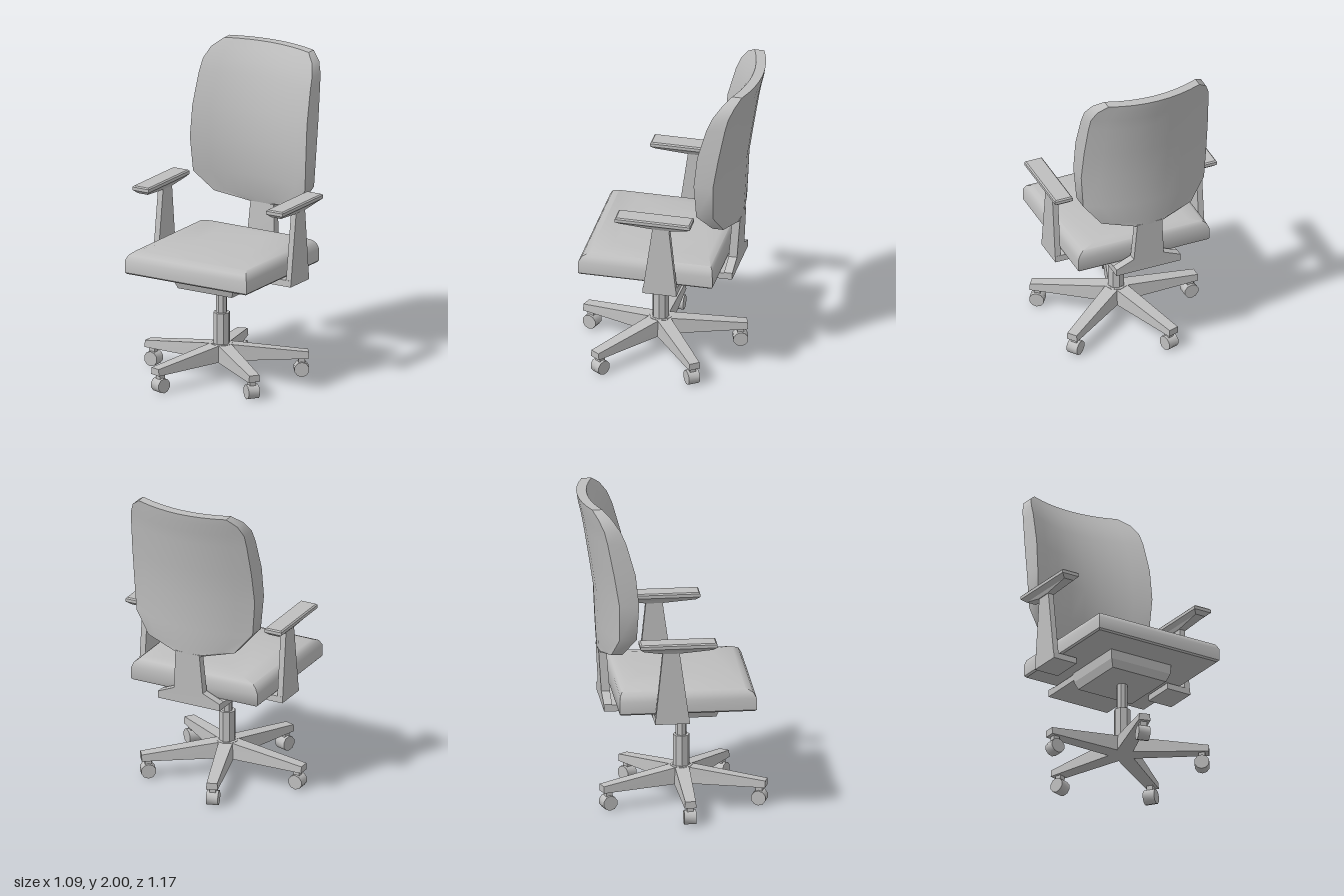
import * as THREE from 'three';
import { toCreasedNormals } from 'three/addons/utils/BufferGeometryUtils.js';

const grey = new THREE.MeshStandardMaterial({ color: 0xbfbfbf });
grey.name = 'grey';

// Rectangle ring, counter-clockwise seen from above
const rect = (y, x0, x1, zf, zb) => [[x0, y, zf], [x1, y, zf], [x1, y, zb], [x0, y, zb]];

// Closed solid through a stack of rings, bottom to top
function loft(rings, crease = 0.5) {
  const n = rings[0].length;
  const index = [];
  const quad = (a, b, c, d) => index.push(a, b, c, a, c, d);
  for (let i = 0; i < rings.length - 1; i++) {
    for (let j = 0; j < n; j++) {
      const k = (j + 1) % n;
      quad(i * n + j, i * n + k, (i + 1) * n + k, (i + 1) * n + j);
    }
  }
  const top = (rings.length - 1) * n;
  for (let j = 0; j < n / 2 - 1; j++) {
    quad(j, n - 1 - j, n - 2 - j, j + 1);
    quad(top + j, top + j + 1, top + n - 2 - j, top + n - 1 - j);
  }
  const geo = new THREE.BufferGeometry();
  geo.setAttribute('position', new THREE.Float32BufferAttribute(rings.flat(2), 3));
  geo.setIndex(index);
  return toCreasedNormals(geo, crease);
}

function add(parent, name, geo) {
  const mesh = new THREE.Mesh(geo, grey);
  mesh.name = name;
  parent.add(mesh);
  return mesh;
}

function cylinder(parent, name, r, y0, y1, z) {
  const geo = toCreasedNormals(new THREE.CylinderGeometry(r, r, y1 - y0, 8), 0.5);
  add(parent, name, geo).position.set(0, (y0 + y1) / 2, z);
}

export function createModel() {
  const chair = new THREE.Group();
  chair.name = 'officeChair';
  const baseZ = 0.065;

  // Backrest: rows of height, half width, front and back depth at the middle
  const rows = [
    [1.0, 0.085, -0.405, -0.455], [1.05, 0.3, -0.39, -0.46],
    [1.18, 0.405, -0.362, -0.468], [1.4, 0.42, -0.357, -0.478],
    [1.6, 0.415, -0.375, -0.508], [1.8, 0.403, -0.425, -0.54],
    [1.88, 0.395, -0.455, -0.555], [1.95, 0.365, -0.49, -0.572],
    [2.0, 0.305, -0.518, -0.58],
  ];
  const steps = [-1, -0.75, -0.5, -0.25, 0, 0.25, 0.5, 0.75, 1];
  const bow = (x, y, z) => [x, y, z + 0.66 * x * x];
  add(chair, 'backrest', loft(rows.map(([y, w, zf, zb]) => [
    ...steps.map((u) => bow(u * w, y, zf)),
    ...steps.map((u) => bow(-u * w, y, zb)),
  ]), 0.65));

  // Back support: flared upright and the plate running under the seat
  add(chair, 'backSupport', loft([
    [0.655, 0.215, -0.385, -0.435], [0.7, 0.215, -0.385, -0.437],
    [0.75, 0.1, -0.387, -0.44], [1.01, 0.083, -0.406, -0.455],
  ].map(([y, w, zf, zb]) => rect(y, -w, w, zf, zb)), 0.2));
  add(chair, 'supportPlate', loft([
    rect(0.655, -0.215, 0.215, -0.1, -0.43), rect(0.695, -0.215, 0.215, -0.1, -0.43),
  ]));

  // Seat cushion: rectangles shrinking towards a soft crown
  add(chair, 'seat', loft([
    [0.7, 0.43, 0.475, -0.355], [0.71, 0.44, 0.485, -0.363],
    [0.785, 0.44, 0.485, -0.363], [0.82, 0.425, 0.465, -0.358],
    [0.84, 0.4, 0.42, -0.345], [0.86, 0.31, 0.28, -0.31],
    [0.868, 0.16, 0.14, -0.22],
  ].map(([y, w, zf, zb]) => rect(y, -w, w, zf, zb)), 0.75));

  // Tilt mechanism under the seat
  add(chair, 'mechanism', loft([
    rect(0.59, -0.195, 0.195, 0.26, -0.13),
    rect(0.64, -0.215, 0.215, 0.278, -0.148),
    rect(0.702, -0.22, 0.22, 0.28, -0.15),
  ], 0.2));

  // Armrests, mirrored
  for (const s of [-1, 1]) {
    const arm = new THREE.Group();
    arm.name = s > 0 ? 'leftArmrest' : 'rightArmrest';
    const box = (y, a, b, zf, zb) => rect(y, Math.min(s * a, s * b), Math.max(s * a, s * b), zf, zb);
    add(arm, 'armFoot', loft([box(0.655, 0.333, 0.5, 0.065, -0.15), box(0.695, 0.333, 0.5, 0.062, -0.147)]));
    add(arm, 'armPost', loft([box(0.655, 0.463, 0.5, 0.065, -0.15), box(1.14, 0.463, 0.5, -0.002, -0.1)]));
    add(arm, 'armPad', loft([
      box(1.115, 0.46, 0.505, 0, -0.1), box(1.135, 0.448, 0.515, 0.205, -0.22),
      box(1.157, 0.425, 0.543, 0.23, -0.245), box(1.177, 0.425, 0.543, 0.23, -0.245),
      box(1.185, 0.433, 0.535, 0.222, -0.237),
    ], 0.2));
    chair.add(arm);
  }

  // Gas column and hub
  cylinder(chair, 'column', 0.034, 0.4, 0.6, baseZ);
  cylinder(chair, 'columnSleeve', 0.052, 0.117, 0.42, baseZ);
  cylinder(chair, 'hub', 0.07, 0.118, 0.222, baseZ);

  // Five legs, each with a caster
  const legGeo = loft([
    [[0, 0.117, 0.052], [0.535, 0.117, 0.037], [0.535, 0.117, -0.037], [0, 0.117, -0.052]],
    [[0, 0.228, 0.045], [0.535, 0.16, 0.033], [0.535, 0.16, -0.033], [0, 0.228, -0.045]],
  ], 0.1);
  const wheelGeo = toCreasedNormals(new THREE.CylinderGeometry(0.047, 0.047, 0.074, 10).rotateX(Math.PI / 2), 0.7);
  const stemGeo = new THREE.BoxGeometry(0.04, 0.04, 0.04);
  for (let i = 0; i < 5; i++) {
    const leg = new THREE.Group();
    leg.name = 'baseLeg';
    add(leg, 'leg', legGeo);
    add(leg, 'casterStem', stemGeo).position.set(0.492, 0.1, 0);
    add(leg, 'casterWheel', wheelGeo).position.set(0.492, 0.047, 0);
    leg.position.z = baseZ;
    leg.rotation.y = Math.PI + (i * Math.PI * 2) / 5;
    chair.add(leg);
  }
  return chair;
}
